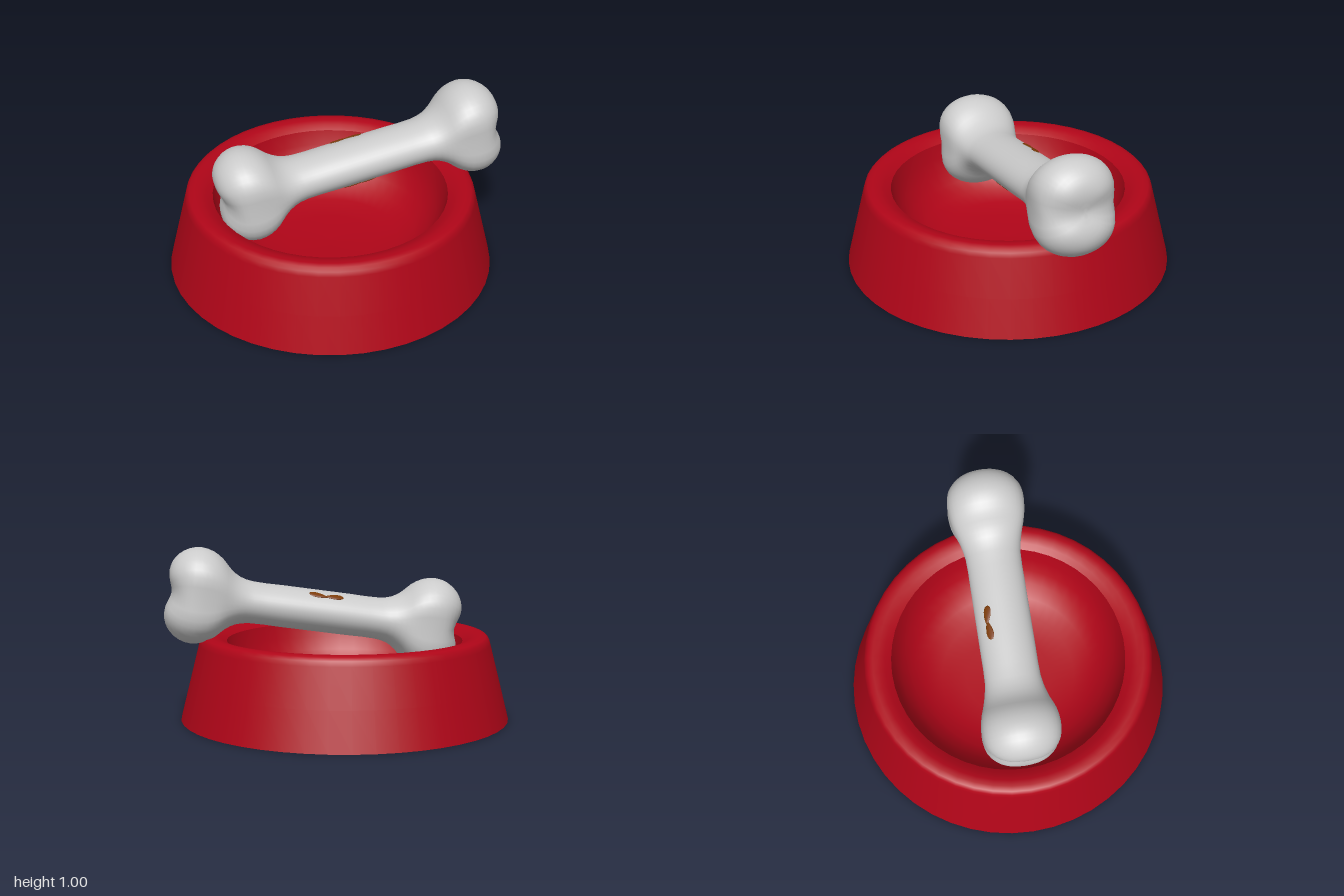
import * as THREE from 'three';
import { mergeVertices } from 'three/addons/utils/BufferGeometryUtils.js';

const red = new THREE.MeshStandardMaterial({ color: 0xb00518 });
const grey = new THREE.MeshStandardMaterial({ color: 0xcccccc });
const brown = new THREE.MeshStandardMaterial({ color: 0x7c3c08 });

const mesh = (name, geometry, material) => {
  const m = new THREE.Mesh(geometry, material);
  m.name = name;
  return m;
};

// One smooth band of the bowl; bands meet at sharp edges
const band = (name, points) =>
  mesh(name, new THREE.LatheGeometry(points.map(p => new THREE.Vector2(...p)), 48), red);

function createBowl() {
  const bowl = new THREE.Group();
  bowl.name = 'bowl';
  bowl.add(
    band('bowlUnderside', [[0, 0.005], [0.35, 0.008], [0.5, 0.016], [0.6, 0.032], [0.67, 0.06],
      [0.71, 0.1], [0.73, 0.15], [0.738, 0.2]]),
    band('footInnerWall', [[0.738, 0.2], [0.76, 0]]),
    band('footRing', [[0.76, 0], [0.955, 0]]),
    band('outerWallAndRim', [[0.955, 0], [0.9, 0.22], [0.845, 0.44], [0.837, 0.468], [0.82, 0.486],
      [0.79, 0.493], [0.755, 0.489], [0.72, 0.477], [0.685, 0.455]]),
    band('dish', [[0.685, 0.455], [0.665, 0.37], [0.63, 0.29], [0.575, 0.215], [0.5, 0.158],
      [0.4, 0.12], [0.25, 0.1], [0, 0.094]])
  );
  bowl.position.x = -0.045;
  return bowl;
}

// Bone lofted along x from rings of given half height and half width
function boneGeometry() {
  const half = [[0, 0.12, 0.16], [0.2, 0.12, 0.16], [0.37, 0.12, 0.162], [0.45, 0.137, 0.178],
    [0.51, 0.175, 0.2], [0.56, 0.225, 0.22], [0.62, 0.262, 0.232], [0.69, 0.276, 0.234],
    [0.755, 0.262, 0.218], [0.81, 0.225, 0.178], [0.842, 0.18, 0.128], [0.856, 0.13, 0.085],
    [0.862, 0.065, 0.04], [0.863, 0, 0]];
  const stations = [...half.slice(1).reverse().map(([x, h, w]) => [-x, h, w]), ...half];
  const curve = new THREE.CatmullRomCurve3(stations.map(s => new THREE.Vector3(...s)));
  const rings = (stations.length - 1) * 2, sides = 40;
  const position = [], index = [];
  for (let i = 0; i <= rings; i++) {
    const s = curve.getPoint(i / rings);
    // Knob amount: 0 on the shaft, 1 on the two-lobed ends
    const knob = THREE.MathUtils.smoothstep(Math.abs(s.x), 0.4, 0.64);
    const straight = 0.33 * knob;
    for (let j = 0; j < sides; j++) {
      const a = (j / sides) * Math.PI * 2;
      const sin = Math.sin(a), c = Math.cos(a);
      // Section stretched between two lobes, with a groove around the middle
      const y = s.y * ((1 - straight) * sin + straight * Math.tanh(3 * sin) / Math.tanh(3));
      const groove = knob * Math.exp(-((y / 0.075) ** 2));
      const z = s.z * c * (1 - 0.07 * groove);
      const notch = 0.035 * groove * THREE.MathUtils.smoothstep(Math.abs(s.x), 0.72, 0.86);
      position.push(s.x - Math.sign(s.x) * notch, y, z);
      if (i === rings) continue;
      const p = i * sides + j, q = i * sides + (j + 1) % sides;
      index.push(p, p + sides, q, p + sides, q + sides, q);
    }
  }
  const g = new THREE.BufferGeometry();
  g.setAttribute('position', new THREE.Float32BufferAttribute(position, 3));
  g.setIndex(index);
  const merged = mergeVertices(g, 1e-5);
  merged.computeVertexNormals();
  return merged;
}

// Two joined teardrop spots lying on the shaft
function createMark() {
  const mark = new THREE.Group();
  for (const side of [-1, 1]) {
    const g = new THREE.SphereGeometry(1, 20, 12);
    g.scale(0.054, 0.006, 0.025);
    const p = g.attributes.position;
    for (let i = 0; i < p.count; i++) {
      const x = p.getX(i);
      p.setZ(i, p.getZ(i) * (0.85 + side * x * 6));
    }
    g.computeVertexNormals();
    const spot = mesh('spot', g, brown);
    spot.position.x = side * 0.046;
    spot.rotation.y = -side * 0.15 - 0.05;
    mark.add(spot);
  }
  mark.position.set(-0.042, 0.0985, -0.092);
  mark.rotation.x = -0.49;
  const pivot = new THREE.Group();
  pivot.name = 'brownMark';
  pivot.add(mark);
  return pivot;
}

export function createModel() {
  const model = new THREE.Group();
  model.name = 'petBowlWithBone';

  // Bone leaning across the rim, marked on opposite sides
  const bone = new THREE.Group();
  bone.name = 'bone';
  bone.add(mesh('boneBody', boneGeometry(), grey));
  for (const turn of [0, Math.PI]) {
    const mark = createMark();
    mark.rotation.x = turn;
    bone.add(mark);
  }
  bone.position.set(0.133, 0.628, -0.003);
  bone.rotation.z = 0.147;

  model.add(createBowl(), bone);
  return model;
}
